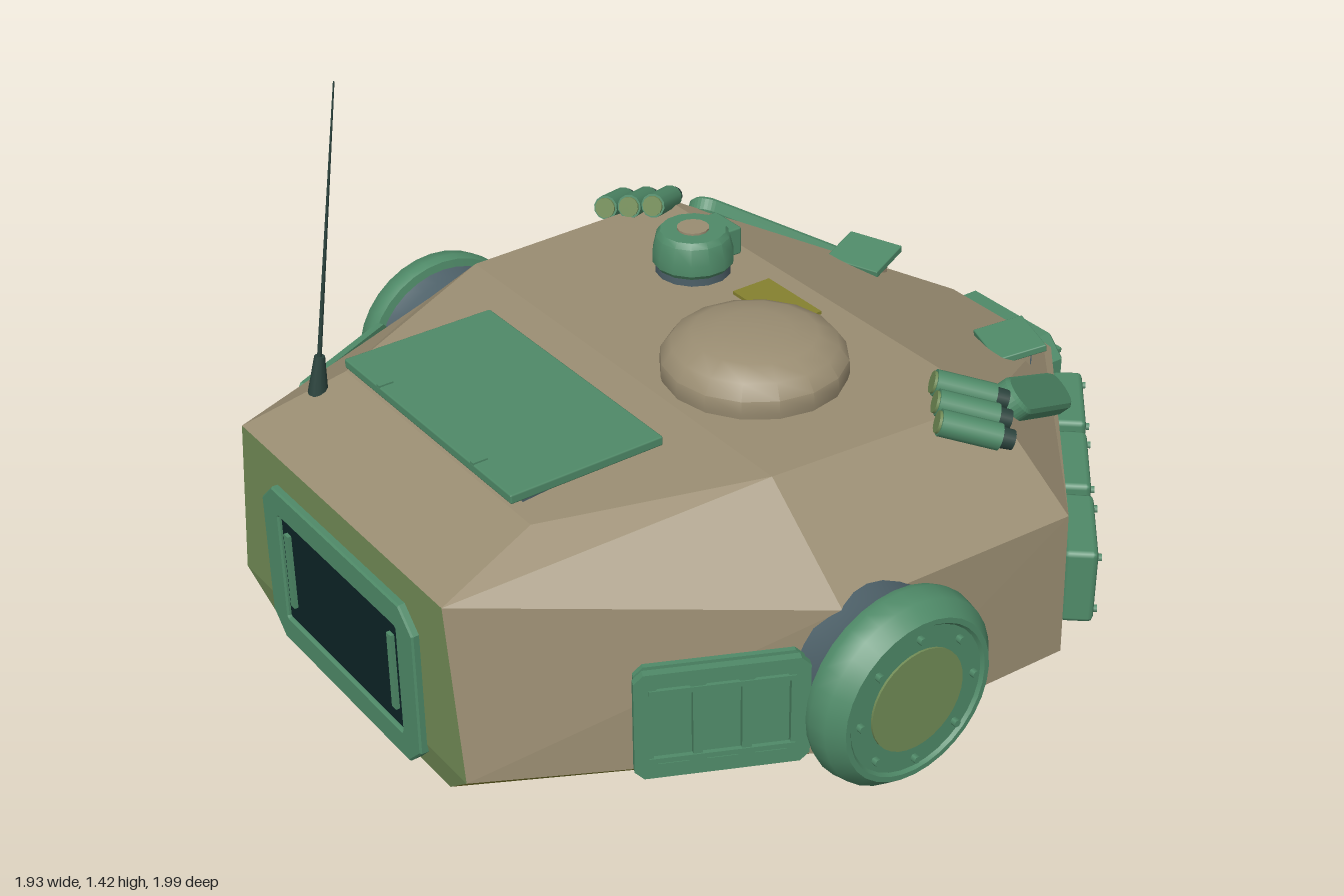
import * as THREE from 'three';
import { toCreasedNormals } from 'three/addons/utils/BufferGeometryUtils.js';
import { RoundedBoxGeometry } from 'three/addons/geometries/RoundedBoxGeometry.js';

const paint = (name, color) => {
  const m = new THREE.MeshStandardMaterial({ color });
  m.name = name;
  return m;
};
const V = (x, y, z) => new THREE.Vector3(x, y, z);

export function createModel() {
  const tan = paint('tan', 0x9a8d72), green = paint('green', 0x4f8a68), olive = paint('olive', 0x85812f);
  const sage = paint('sage', 0x728c56), glass = paint('dark glass', 0x0c2426);
  const steel = paint('blue grey', 0x4d6068), dark = paint('dark green', 0x2a423c);
  const model = new THREE.Group();
  model.name = 'turret';

  const add = (parent, name, geo, mat, x = 0, y = 0, z = 0) => {
    const m = new THREE.Mesh(geo, mat);
    m.name = name;
    m.position.set(x, y, z);
    parent.add(m);
    return m;
  };
  const box = (w, h, d, r = 0) => r ? new RoundedBoxGeometry(w, h, d, 1, r) : new THREE.BoxGeometry(w, h, d);
  const lathe = (pts, n = 32) =>
    toCreasedNormals(new THREE.LatheGeometry(pts.map(p => new THREE.Vector2(...p)), n), 0.55);
  // group whose +z looks along a direction
  const facing = (name, pos, dir) => {
    const g = new THREE.Group();
    g.name = name;
    g.position.copy(pos);
    g.lookAt(pos.clone().add(dir));
    model.add(g);
    return g;
  };
  // tapered rod between two points
  const rod = (parent, name, a, b, ra, rb, mat, n = 10) => {
    const d = b.clone().sub(a), mid = a.clone().add(b).multiplyScalar(0.5);
    const m = add(parent, name, new THREE.CylinderGeometry(rb, ra, d.length(), n), mat, mid.x, mid.y, mid.z);
    m.quaternion.setFromUnitVectors(V(0, 1, 0), d.normalize());
    return m;
  };
  // rectangle with cut corners
  const cutRect = (w, h, c, Type = THREE.Shape) => {
    const x = w / 2, y = h / 2;
    return new Type([[x - c, -y], [x, -y + c], [x, y - c], [x - c, y], [-x + c, y], [-x, y - c], [-x, -y + c], [-x + c, -y]]
      .map(p => new THREE.Vector2(...p)));
  };
  const slab = (shape, depth, bevel = 0) => new THREE.ExtrudeGeometry(shape, {
    depth: depth - 2 * bevel, bevelEnabled: bevel > 0, bevelSize: bevel, bevelThickness: bevel,
    bevelOffset: -bevel, bevelSegments: 1, curveSegments: 8 }).translate(0, 0, bevel);

  // hull: four stacked rings, each given by its left half from front to rear
  const rings = [
    [[0.38, 0.17, 0.955], [0.67, 0.08, 0.15], [0.6, 0.1, -0.32], [0.16, 0.22, -0.885]],
    [[0.475, 0.25, 0.97], [0.82, 0.22, 0.27], [0.84, 0.22, -0.33], [0.19, 0.25, -0.9]],
    [[0.42, 0.655, 0.97], [0.805, 0.57, 0.27], [0.83, 0.57, -0.33], [0.18, 0.485, -0.9]],
    [[0.375, 0.73, 0.73], [0.57, 0.768, 0.27], [0.6, 0.758, -0.3], [0.165, 0.5, -0.885]],
  ].map(h => [...h, ...h.map(([x, y, z]) => [-x, y, z]).reverse()]);
  const shell = [], belly = [], face = [];
  const quad = (list, a, b, c, d) => list.push(...a, ...b, ...c, ...a, ...c, ...d);
  for (let k = 0; k < 3; k++) for (let i = 0; i < 8; i++) {
    const j = (i + 1) % 8, list = i === 7 && k < 2 ? face : k === 0 ? belly : shell;
    quad(list, rings[k][i], rings[k][j], rings[k + 1][j], rings[k + 1][i]);
  }
  for (let i = 0; i < 3; i++) {
    const t = rings[3], b = rings[0];
    quad(shell, t[i], t[i + 1], t[6 - i], t[7 - i]);
    quad(belly, b[7 - i], b[6 - i], b[i + 1], b[i]);
  }
  for (const [name, list, mat] of [['hull', shell, tan], ['hullBelly', belly, olive], ['frontFace', face, sage]]) {
    const g = new THREE.BufferGeometry();
    g.setAttribute('position', new THREE.Float32BufferAttribute(list, 3));
    g.computeVertexNormals();
    add(model, name, g, mat);
  }

  // front window with frame and two grab bars
  const frame = cutRect(0.64, 0.4, 0.05);
  frame.holes.push(cutRect(0.5, 0.27, 0.004, THREE.Path));
  add(model, 'windowFrame', slab(frame, 0.035, 0.004), green, 0, 0.38, 0.952);
  add(model, 'window', box(0.5, 0.27, 0.008), glass, 0, 0.38, 0.974);
  for (const s of [1, -1]) add(model, 'windowBar', box(0.018, 0.19, 0.014), green, s * 0.22, 0.385, 0.98);

  // roof parts
  add(model, 'roofHatch', box(0.675, 0.022, 0.375, 0.004), green, 0, 0.776, 0.563);
  add(model, 'hatchMount', box(0.6, 0.04, 0.3), steel, 0, 0.75, 0.55);
  for (const s of [1, -1]) add(model, 'hatchHinge', box(0.012, 0.006, 0.035), green, s * 0.19, 0.788, 0.733);
  add(model, 'dome', lathe([[0.2, 0.74], [0.21, 0.78], [0.208, 0.81], [0.185, 0.842], [0.14, 0.864], [0.08, 0.874], [0, 0.877]], 16),
    tan, 0.21, 0, 0.04);
  add(model, 'yellowPlate', box(0.195, 0.008, 0.105), olive, -0.003, 0.765, -0.188);
  const cupola = new THREE.Group();
  cupola.name = 'cupola';
  cupola.position.set(-0.255, 0, -0.135);
  model.add(cupola);
  add(cupola, 'cupolaBase', lathe([[0.09, 0.74], [0.09, 0.782]], 14), steel);
  add(cupola, 'cupolaBody', lathe([[0.09, 0.78], [0.097, 0.79], [0.097, 0.815], [0.088, 0.855], [0.078, 0.868], [0, 0.868]], 14), green);
  add(cupola, 'cupolaCap', new THREE.CylinderGeometry(0.038, 0.038, 0.006, 14), tan, 0, 0.87, 0);
  add(cupola, 'cupolaSight', box(0.1, 0.07, 0.04, 0.005), green, 0, 0.825, -0.085);

  // antenna
  rod(model, 'antennaBase', V(-0.375, 0.7, 0.802), V(-0.375, 0.79, 0.79), 0.023, 0.012, dark);
  rod(model, 'antenna', V(-0.375, 0.78, 0.792), V(-0.375, 1.42, 0.7), 0.006, 0.002, dark, 6);

  // mounting ring below
  add(model, 'mountNeck', lathe([[0.235, 0.035], [0.235, 0.12]]), steel, 0, 0, 0.18);
  add(model, 'mountCollar', lathe([[0.24, 0.045], [0.25, 0.05], [0.25, 0.065], [0.235, 0.07]]), green, 0, 0, 0.18);
  add(model, 'mountFlange', lathe([[0, 0.004], [0.2, 0.004], [0.205, 0], [0.245, 0], [0.26, 0.012], [0.26, 0.03], [0.248, 0.042], [0.23, 0.042]]), green, 0, 0, 0.18);
  add(model, 'mountDisc', new THREE.CylinderGeometry(0.17, 0.17, 0.004, 32), sage, 0, 0.003, 0.18);

  // rear vision block
  const rear = facing('rearBlock', V(0, 0.37, -0.88), V(0, 0, -1));
  add(rear, 'rearPlate', slab(cutRect(0.37, 0.245, 0.05), 0.065, 0.01), green);
  add(rear, 'rearVisor', box(0.24, 0.1, 0.04, 0.006), green, 0, 0, 0.075);
  add(rear, 'rearSlit', box(0.19, 0.03, 0.006), glass, 0, 0.005, 0.094);
  add(rear, 'rearLip', box(0.24, 0.014, 0.06, 0.003), green, 0, 0.045, 0.09);

  for (const s of [1, -1]) {
    // side disc with bolts
    const disc = new THREE.Group();
    disc.name = 'sideDisc';
    disc.position.set(s * 0.8, 0.4, 0.19);
    disc.rotation.z = -s * Math.PI / 2;
    model.add(disc);
    add(disc, 'discHub', lathe([[0.19, -0.02], [0.19, 0.03], [0.205, 0.075]]), steel);
    add(disc, 'discRim', lathe([[0.19, 0.06], [0.22, 0.066], [0.226, 0.085], [0.218, 0.125], [0.19, 0.157], [0.178, 0.157], [0.172, 0.15], [0, 0.15]]), green);
    add(disc, 'discCentre', new THREE.CylinderGeometry(0.12, 0.12, 0.008, 32), sage, 0, 0.151, 0);
    for (let i = 0; i < 8; i++) {
      const a = i * Math.PI / 4;
      add(disc, 'discBolt', new THREE.CylinderGeometry(0.009, 0.009, 0.014, 6), green, 0.15 * Math.cos(a), 0.156, 0.15 * Math.sin(a));
    }

    // slotted side panel
    const panel = facing('sidePanel', V(s * 0.752, 0.4, 0.535), V(s * 0.9, 0, 0.437));
    const grille = cutRect(0.36, 0.26, 0.02);
    for (const x of [-0.1, 0, 0.1]) {
      const hole = cutRect(0.08, 0.19, 0.008, THREE.Path);
      hole.curves.forEach(c => { c.v1.x += x; c.v2.x += x; });
      grille.holes.push(hole);
    }
    add(panel, 'panelGrille', slab(grille, 0.018), green, 0, 0, 0);
    add(panel, 'panelBack', slab(cutRect(0.35, 0.25, 0.02), 0.012), green, 0, 0, -0.028);
    add(panel, 'panelMount', box(0.24, 0.16, 0.07), steel, 0, 0, -0.055);
    for (const y of [0.085, -0.085]) add(panel, 'panelRail', box(0.3, 0.012, 0.01), green, 0, y, 0.016);

    // three bolted boxes along the rear flank
    [[0.738, -0.462], [0.535, -0.637], [0.332, -0.817]].forEach(([x, z]) => {
      const b = facing('flankBox', V(s * x, 0.357, z), V(s * 0.66, 0, -0.75));
      add(b, 'flankBoxBody', box(0.24, 0.185, 0.075, 0.012), green);
      for (const u of [-0.095, 0.095]) for (const v of [-0.068, 0.068]) {
        add(b, 'flankBolt', new THREE.CylinderGeometry(0.009, 0.009, 0.012, 6).rotateX(Math.PI / 2), green, u, v, 0.04);
      }
    });

    // sloped rounded plate
    const n = V(s * 0.464, 0.641, -0.61).normalize(), along = V(s * 0.17, 0.181, 0.32).normalize();
    const pill = new THREE.Shape();
    pill.absarc(0.17, 0, 0.048, -Math.PI / 2, Math.PI / 2);
    pill.absarc(-0.17, 0, 0.048, Math.PI / 2, Math.PI * 1.5);
    const plate = add(model, 'slopedPlate', slab(pill, 0.045, 0.008), green, s * 0.482, 0.613, -0.525);
    plate.quaternion.setFromRotationMatrix(new THREE.Matrix4().makeBasis(along, n.clone().cross(along), n));

    // periscope
    const scope = new THREE.Group();
    scope.name = 'periscope';
    scope.position.set(s * 0.268, 0.56, -0.672);
    scope.rotation.y = -s * 0.35;
    model.add(scope);
    add(scope, 'periscopePost', box(0.1, 0.13, 0.085), tan, 0, -0.01, 0.01);
    add(scope, 'periscopeGlass', box(0.085, 0.045, 0.008), steel, 0, 0.03, -0.035);
    add(scope, 'periscopeCap', box(0.148, 0.018, 0.125, 0.003), green, 0, 0.064, 0).rotation.x = 0.16;

    // three launcher tubes
    const axis = V(s * -0.55, 0.28, 0.78).normalize();
    for (let i = -1; i <= 1; i++) {
      const c = V(s * (0.615 + i * 0.05), 0.762 - i * 0.012, -0.235 + i * 0.036);
      const at = t => c.clone().addScaledVector(axis, t);
      rod(model, 'launcherTube', at(-0.055), at(0.08), 0.03, 0.03, green, 12);
      rod(model, 'launcherCap', at(0.08), at(0.086), 0.025, 0.025, sage, 12);
      rod(model, 'launcherBreech', at(-0.085), at(-0.055), 0.022, 0.024, dark, 12);
    }
    add(model, 'launcherMount', box(0.08, 0.05, 0.06), steel, s * 0.615, 0.73, -0.235).rotation.y = -s * 0.62;
  }
  return model;
}
